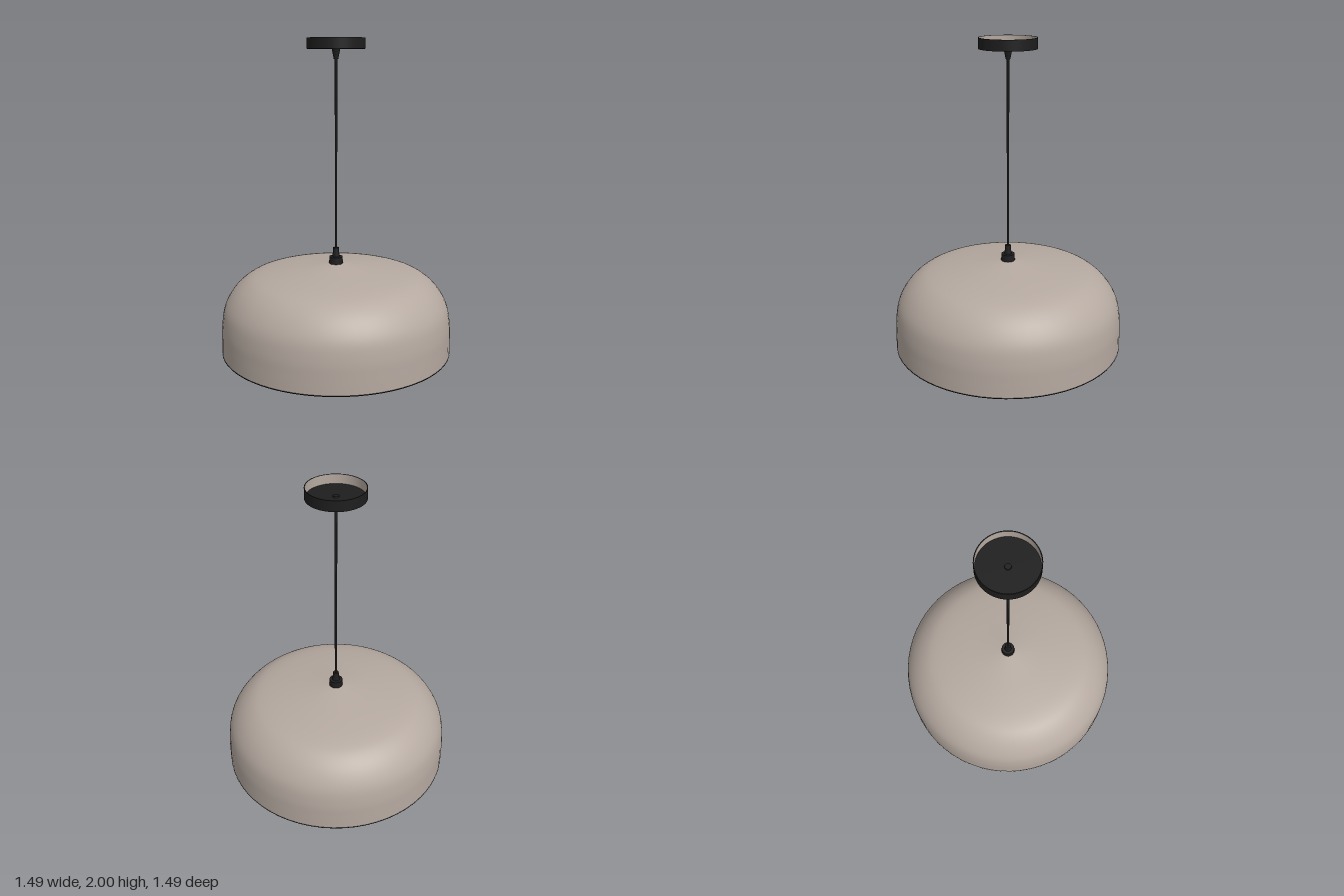
import * as THREE from 'three';

const SEG = 64;
const V = (x, y) => new THREE.Vector2(x, y);

function mat(name, color) {
  const m = new THREE.MeshStandardMaterial({ color });
  m.name = name;
  return m;
}

export function createModel() {
  const group = new THREE.Group();
  const black = mat('black metal', 0x1e1e1e);
  const taupe = mat('taupe shade', 0xb5a9a0);
  const lining = mat('pale lining', 0xc9bcb1);

  const add = (name, geometry, material, y = 0) => {
    const mesh = new THREE.Mesh(geometry, material);
    mesh.name = name;
    mesh.position.y = y;
    group.add(mesh);
    return mesh;
  };
  const cylinder = (name, rTop, rBottom, y0, y1, seg = 32) =>
    add(name, new THREE.CylinderGeometry(rTop, rBottom, y1 - y0, seg), black, (y0 + y1) / 2);

  // Domed shade: vertical skirt, rounded shoulder, shallow cone on top
  const curve = new THREE.SplineCurve([
    V(0.745, 0.005), V(0.744, 0.1), V(0.74, 0.2), V(0.718, 0.31), V(0.66, 0.405),
    V(0.58, 0.473), V(0.49, 0.507), V(0.35, 0.532), V(0.2, 0.551), V(0.08, 0.566), V(0.02, 0.574),
  ]);
  const outer = curve.getPoints(44);
  add('shadeOuter', new THREE.LatheGeometry(outer, SEG), taupe);
  const inner = outer.map((p) => V(Math.max(p.x - 0.013, 0.001), Math.max(p.y - 0.013, 0))).reverse();
  add('shadeLining', new THREE.LatheGeometry(inner, SEG), lining);

  // Dark edge around the opening
  add('shadeRim', new THREE.LatheGeometry([V(0.731, 0), V(0.746, 0), V(0.746, 0.006)], SEG), black);

  // Lamp socket inside the shade, with a rounded lower end
  add('socket', new THREE.LatheGeometry([
    V(0, 0.405), V(0.03, 0.41), V(0.05, 0.425), V(0.055, 0.45), V(0.055, 0.565),
  ], 32), black);

  // Fitting above the shade
  cylinder('shadeCap', 0.043, 0.045, 0.562, 0.615);
  cylinder('cordGrip', 0.018, 0.023, 0.615, 0.675);

  // Cord
  cylinder('cord', 0.008, 0.008, 0.67, 1.9, 12);

  // Ceiling canopy: shallow open-topped cup with a cord relief below
  cylinder('cordRelief', 0.027, 0.014, 1.87, 1.936);
  cylinder('canopyFloor', 0.178, 0.178, 1.933, 1.941, SEG);
  cylinder('canopyNub', 0.018, 0.02, 1.94, 1.948, 16);
  add('canopyWall', new THREE.CylinderGeometry(0.18, 0.18, 0.067, SEG, 1, true), black, 1.9665);
  add('canopyLining', new THREE.LatheGeometry([V(0.175, 2), V(0.175, 1.94)], SEG), taupe);
  const edge = new THREE.RingGeometry(0.175, 0.18, SEG).rotateX(-Math.PI / 2);
  add('canopyEdge', edge, black, 2);

  return group;
}
